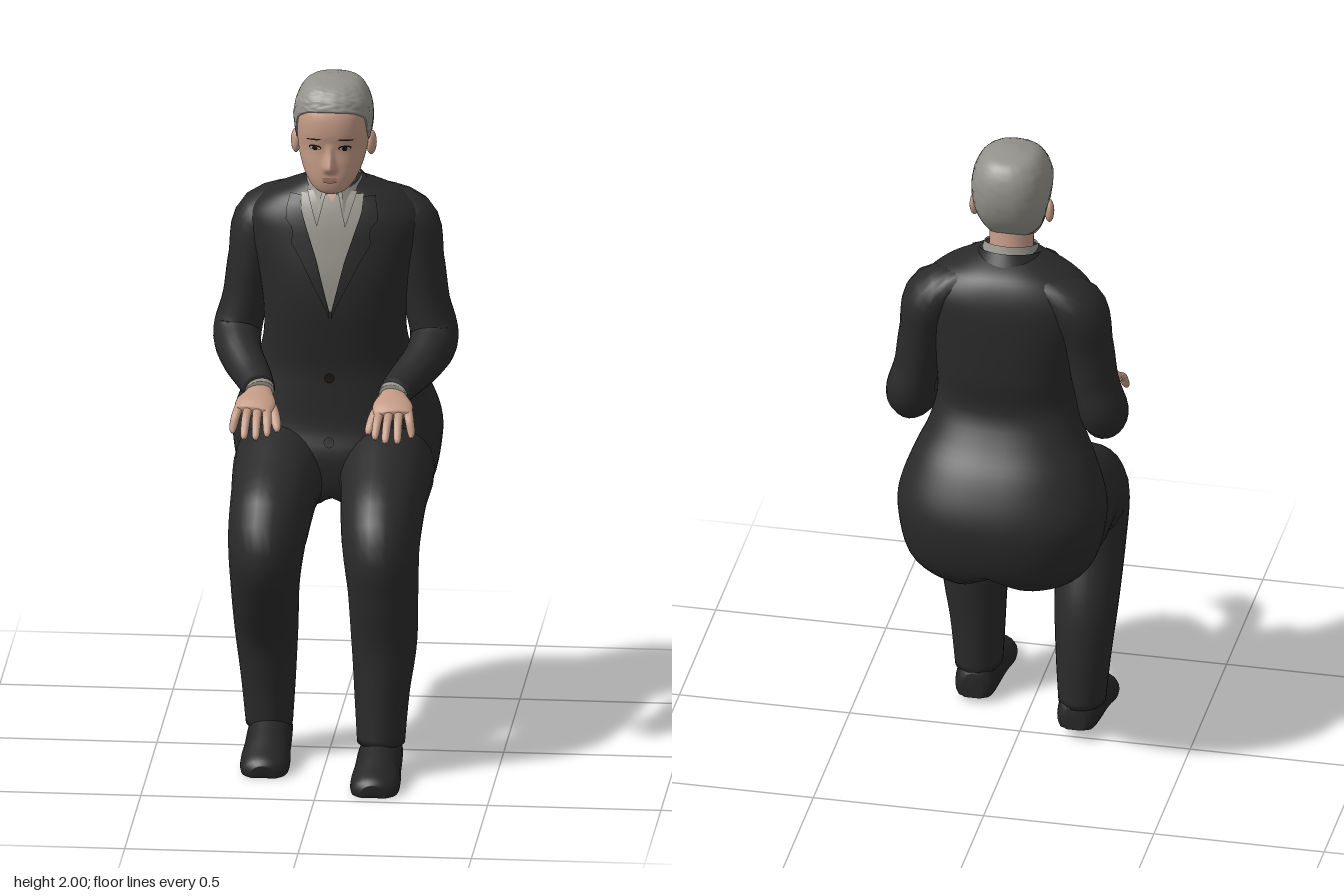
import * as THREE from 'three';

const mat = (name, color, side = THREE.FrontSide) =>
  Object.assign(new THREE.MeshStandardMaterial({ color, side }), { name });
const M = {
  suit: mat('suit black', 0x2a2a2a, THREE.DoubleSide),
  shoe: mat('shoe black', 0x252525),
  skin: mat('skin', 0xc39a85),
  hair: mat('grey hair', 0x93928b, THREE.DoubleSide),
  shirt: mat('grey shirt', 0x98968c, THREE.DoubleSide),
  lips: mat('lips', 0xa87667),
  white: mat('eye white', 0xb9b0a6),
  dark: mat('dark detail', 0x1a1614),
};

// Smooth interpolation through table rows; t counts rows
function sample(T, t) {
  const n = T.length, i = Math.max(0, Math.min(Math.floor(t), n - 2)), f = t - i;
  const a = T[Math.max(i - 1, 0)], b = T[i], c = T[i + 1], d = T[Math.min(i + 2, n - 1)];
  return b.map((_, k) => 0.5 * (2 * b[k] + (c[k] - a[k]) * f
    + (2 * a[k] - 5 * b[k] + 4 * c[k] - d[k]) * f * f
    + (3 * b[k] - a[k] - 3 * c[k] + d[k]) * f * f * f));
}

// Surface from fn(u, v); wraps around u when closed, optional end caps
function surface(nu, nv, closed, fn, caps = false) {
  const pos = [], idx = [], cols = closed ? nu : nu + 1;
  for (let j = 0; j <= nv; j++) for (let i = 0; i < cols; i++) pos.push(...fn(i / nu, j / nv));
  for (let j = 0; j < nv; j++) for (let i = 0; i < nu; i++) {
    const a = j * cols + i, b = j * cols + (i + 1) % cols;
    idx.push(a, b, a + cols, b, b + cols, a + cols);
  }
  if (caps) for (const row of [0, nv]) {
    const mid = [0, 0, 0], c = pos.length / 3, s = row * cols;
    for (let i = 0; i < cols; i++) for (let k = 0; k < 3; k++) mid[k] += pos[(s + i) * 3 + k] / cols;
    pos.push(...mid);
    for (let i = 0; i < cols; i++) {
      const a = s + i, b = s + (i + 1) % cols;
      idx.push(c, ...(row ? [a, b] : [b, a]));
    }
  }
  const g = new THREE.BufferGeometry();
  g.setAttribute('position', new THREE.Float32BufferAttribute(pos, 3));
  g.setIndex(idx);
  g.computeVertexNormals();
  return g;
}

// Limb along rows [x, y, z, radius sideways, radius across]
function sweep(rows, seg = 20, floor = -1) {
  const n = rows.length - 1;
  return surface(seg, n * 5, true, (u, v) => {
    const t = v * n, [x, y, z, ra, rb] = sample(rows, t);
    const p = sample(rows, Math.max(t - 0.05, 0)), q = sample(rows, Math.min(t + 0.05, n));
    const T = new THREE.Vector3(q[0] - p[0], q[1] - p[1], q[2] - p[2]).normalize();
    const U = new THREE.Vector3(1, 0, 0).addScaledVector(T, -T.x).normalize();
    const V = new THREE.Vector3().crossVectors(T, U), a = u * Math.PI * 2;
    const P = new THREE.Vector3(x, y, z).addScaledVector(U, ra * Math.cos(a)).addScaledVector(V, rb * Math.sin(a));
    return [P.x, Math.max(P.y, floor), P.z];
  }, true);
}

// Body sections: [y, front z, back z, half width]
const POW = 2.3;
const torso = [
  [0.657, -0.16, -0.32, 0.14], [0.68, -0.1, -0.37, 0.215], [0.75, -0.03, -0.435, 0.275], [0.865, -0.005, -0.466, 0.3],
  [0.95, -0.025, -0.458, 0.297], [1.05, -0.03, -0.41, 0.262], [1.13, -0.03, -0.35, 0.225], [1.22, -0.015, -0.305, 0.205],
  [1.32, 0, -0.315, 0.208], [1.42, 0, -0.318, 0.224], [1.52, -0.015, -0.316, 0.248], [1.58, -0.028, -0.307, 0.246],
  [1.63, -0.045, -0.285, 0.196], [1.66, -0.06, -0.255, 0.135], [1.685, -0.075, -0.205, 0.08],
];
const head = [
  [1.672, -0.005, -0.04, 0.02], [1.685, 0.012, -0.08, 0.048], [1.72, 0.021, -0.14, 0.075], [1.765, 0.021, -0.182, 0.092],
  [1.81, 0.019, -0.207, 0.101], [1.86, 0.027, -0.222, 0.105], [1.91, 0.022, -0.223, 0.102], [1.95, -0.001, -0.21, 0.087],
  [1.977, -0.04, -0.182, 0.06], [1.988, -0.1, -0.12, 0.012],
];
const bend = c => Math.sign(c) * Math.abs(c) ** (2 / POW);
function ringPoint(T, t, a, grow = 0) {
  const [y, zf, zb, rx] = sample(T, t);
  return [bend(Math.cos(a)) * (rx + grow), y, (zf + zb) / 2 - bend(Math.sin(a)) * ((zf - zb) / 2 + grow)];
}
// Closed body from a table, with a rule that shapes each point
const body = (T, seg, rows, shape) => surface(seg, (T.length - 1) * rows, true,
  (u, v) => shape(...ringPoint(T, v * (T.length - 1), u * Math.PI * 2)), true);
function frontZ(T, x, y) {
  let lo = 0, hi = T.length - 1;
  for (let k = 0; k < 24; k++) { const m = (lo + hi) / 2; if (sample(T, m)[0] < y) lo = m; else hi = m; }
  const [, zf, zb, rx] = sample(T, lo);
  return (zf + zb) / 2 + (zf - zb) / 2 * Math.max(0, 1 - Math.abs(x / rx) ** POW) ** (1 / POW);
}
// Value from a list of [key, value] pairs with rising keys
function lookup(pairs, k) {
  for (let i = 1; i < pairs.length; i++) if (k <= pairs[i][0]) {
    const [a, b] = [pairs[i - 1], pairs[i]];
    return THREE.MathUtils.mapLinear(Math.max(k, a[0]), a[0], b[0], a[1], b[1]);
  }
  return pairs.at(-1)[1];
}

export function createModel() {
  const model = new THREE.Group();
  model.name = 'seatedPersonInSuit';
  const add = (name, geo, material, parent = model) => {
    const m = new THREE.Mesh(geo, material);
    m.name = name;
    parent.add(m);
    return m;
  };
  // Thin painted ellipse or plate that follows the front of a body
  const decal = (name, T, x, y, w, h, off, material, tilt = 0) => {
    const g = new THREE.CircleGeometry(1, 20).scale(w, h, 1).rotateZ(tilt).translate(x, y, 0), p = g.attributes.position;
    for (let i = 0; i < p.count; i++) p.setZ(i, frontZ(T, p.getX(i), p.getY(i)) + off);
    g.computeVertexNormals();
    add(name, g, material);
  };
  const plate = (name, y0, y1, inner, outer, off, material) =>
    add(name, surface(8, 16, false, (u, v) => {
      const y = y0 + (y1 - y0) * v, x = THREE.MathUtils.lerp(inner(y), outer(y), u);
      return [x, y, frontZ(torso, x, y) + off];
    }), material);

  // Jacket body, its seat raised between the legs
  add('jacketBody', body(torso, 64, 4, (x, y, z) => [x, Math.max(y, 0.742 - 0.65 * Math.abs(x)), z]), M.suit);

  // Shirt front, lapels and buttons
  const vee = y => lookup([[1.32, 0.003], [1.47, 0.04], [1.55, 0.067], [1.61, 0.087], [1.66, 0.09]], y);
  plate('shirtFront', 1.32, 1.655, y => -vee(y), vee, 0.003, M.shirt);
  plate('shirtPlacket', 1.4, 1.61, () => -0.011, () => 0.011, 0.005, M.shirt);
  plate('openNeck', 1.635, 1.68, y => (1.635 - y) * 0.6, y => (y - 1.635) * 0.6, 0.006, M.skin);
  for (const s of [-1, 1]) {
    const between = (name, y0, y1, near, far, off, material) =>
      plate(name, y0, y1, y => (s > 0 ? near(y) : -far(y)), y => (s > 0 ? far(y) : -near(y)), off, material);
    between('lapel', 1.3, 1.65, vee,
      y => vee(y) + lookup([[1.3, 0.002], [1.53, 0.062], [1.55, 0.035], [1.58, 0.055], [1.66, 0.03]], y), 0.008, M.suit);
    between('collarWing', 1.57, 1.665, y => 0.04 - (y - 1.57) * 0.25, y => 0.042 + (y - 1.57) * 0.32, 0.009, M.shirt);
  }
  for (const y of [1.11, 0.92]) decal('jacketButton', torso, -0.005, y, 0.015, 0.015, 0.009, M.dark);

  // Collars slope down towards the front
  add('shirtCollar', surface(36, 4, false, (u, v) => {
    const a = -1.2 + u * (Math.PI + 2.4), r = 0.097 - 0.021 * v, f = -Math.sin(a);
    return [r * Math.cos(a), 1.632 + 0.064 * v - 0.025 * f, -0.122 + r * f * 1.05];
  }), M.shirt);
  add('jacketCollar', surface(28, 4, false, (u, v) => {
    const a = -0.25 + u * (Math.PI + 0.5), r = 0.122 - 0.03 * v, f = -Math.sin(a);
    return [r * Math.cos(a), 1.63 + 0.048 * v - 0.025 * f, -0.124 + r * f];
  }), M.suit);

  // Neck, and head with the nose drawn out of its front
  add('neck', sweep([[0, 1.6, -0.135, 0.07, 0.068], [0, 1.69, -0.115, 0.064, 0.068], [0, 1.78, -0.1, 0.066, 0.07]]), M.skin);
  const nose = [[1.738, 0], [1.75, 0.018], [1.758, 0.031], [1.768, 0.029], [1.8, 0.014], [1.83, 0]];
  add('head', body(head, 128, 9, (x, y, z) => {
    const width = lookup([[1.76, 0.0145], [1.8, 0.009]], y);
    return [x, y, z > -0.05 ? z + lookup(nose, y) * Math.exp(-((x / width) ** 2)) : z];
  }), M.skin);

  // Short hair from the hairline up to the crown
  const hairline = [[-1, 2.05], [-0.4, 2.7], [-0.1, 4.0], [0.1, 4.2], [0.3, 4.7], [0.45, 5.7], [0.8, 6.2], [1, 6.35]];
  add('hair', surface(96, 36, true, (u, v) => {
    const a = u * Math.PI * 2, t0 = lookup(hairline, -Math.sin(a)), t = t0 + (9 - t0) * v;
    const tuft = 0.0014 * Math.sin(11 * a + 2 * Math.sin(9 * t)) * Math.sin(8 * t + 2 * Math.sin(5 * a)) * (1 - v);
    const p = ringPoint(head, t, a, 0.003 + 0.007 * Math.min(1, v * 4) + tuft);
    p[1] += 0.012 * v + tuft;
    return p;
  }, true), M.hair);

  // Lips, eyes, brows and ears
  decal('upperLip', head, 0, 1.725, 0.024, 0.004, 0.003, M.lips);
  decal('lowerLip', head, 0, 1.718, 0.02, 0.005, 0.004, M.lips);
  for (const s of [-1, 1]) {
    decal('eyeLid', head, s * 0.043, 1.818, 0.019, 0.008, 0.002, M.dark);
    decal('eyeWhite', head, s * 0.043, 1.8165, 0.015, 0.0055, 0.004, M.white);
    decal('iris', head, s * 0.043, 1.817, 0.008, 0.007, 0.006, M.dark);
    decal('eyebrow', head, s * 0.046, 1.843, 0.023, 0.0025, 0.003, M.dark, s * -0.1);
    const ear = add('ear', new THREE.SphereGeometry(1, 16, 12), M.skin);
    ear.scale.set(0.014, 0.036, 0.023);
    ear.position.set(s * 0.109, 1.8, -0.105);
    ear.rotation.y = s * -0.25;
  }

  // Arms and hands
  for (const s of [-1, 1]) {
    const side = rows => rows.map(([x, ...r]) => [s * x, ...r]);
    const arm = new THREE.Group();
    arm.name = s > 0 ? 'leftArm' : 'rightArm';
    model.add(arm);
    add('sleeve', sweep(side([[0.08, 1.585, -0.18, 0.04, 0.09], [0.205, 1.545, -0.195, 0.08, 0.1], [0.242, 1.42, -0.188, 0.07, 0.088],
      [0.262, 1.3, -0.186, 0.066, 0.08], [0.284, 1.2, -0.175, 0.07, 0.082], [0.266, 1.16, -0.08, 0.062, 0.068],
      [0.222, 1.13, 0.03, 0.054, 0.052], [0.194, 1.115, 0.112, 0.046, 0.043]]), 24), M.suit, arm);
    add('shirtCuff', sweep(side([[0.196, 1.116, 0.1, 0.043, 0.038], [0.191, 1.111, 0.127, 0.041, 0.034]])), M.shirt, arm);
    add('palm', sweep(side([[0.193, 1.112, 0.1, 0.032, 0.024], [0.193, 1.11, 0.14, 0.041, 0.023],
      [0.197, 1.1, 0.19, 0.058, 0.022], [0.203, 1.084, 0.23, 0.053, 0.015]])), M.skin, arm);
    const fingers = [[0.163, 0.156, 0.292, 1.03], [0.19, 0.187, 0.312, 1.026], [0.217, 0.221, 0.304, 1.024], [0.243, 0.257, 0.264, 1.03]];
    for (const [x0, x1, z, y] of fingers)
      add('finger', sweep(side([[x0, 1.09, 0.2, 0.014, 0.013], [(x0 + x1) / 2, 1.075, (0.21 + z) / 2, 0.013, 0.012],
        [x1, y + 0.012, z - 0.01, 0.011, 0.01], [x1, y, z, 0.005, 0.005]]), 12), M.skin, arm);
    add('thumb', sweep(side([[0.17, 1.1, 0.145, 0.018, 0.017], [0.145, 1.07, 0.19, 0.016, 0.015],
      [0.133, 1.04, 0.23, 0.012, 0.011], [0.132, 1.028, 0.24, 0.005, 0.005]]), 12), M.skin, arm);
  }

  // Trousers and shoes; the left foot is further forward, the right heel is lifted
  const shins = {
    1: [[0.172, 0.56, 0.215, 0.102, 0.12], [0.175, 0.4, 0.21, 0.095, 0.097], [0.169, 0.25, 0.215, 0.08, 0.09], [0.167, 0.1, 0.222, 0.069, 0.088]],
    '-1': [[-0.172, 0.56, 0.172, 0.1, 0.118], [-0.175, 0.4, 0.097, 0.092, 0.1], [-0.172, 0.25, 0.07, 0.08, 0.09], [-0.17, 0.1, 0.06, 0.068, 0.085]],
  };
  for (const s of [1, -1]) {
    const leg = new THREE.Group();
    leg.name = s > 0 ? 'leftLeg' : 'rightLeg';
    model.add(leg);
    add('trouserLeg', sweep([[s * 0.148, 0.8, -0.3, 0.12, 0.12], [s * 0.153, 0.808, -0.12, 0.136, 0.157],
      [s * 0.158, 0.777, 0.05, 0.124, 0.138], [s * 0.164, 0.695, 0.196, 0.113, 0.142], ...shins[s]], 28), M.suit, leg);
    const x = s * 0.166;
    const shoe = add('shoe', sweep([[x, 0.035, 0, 0.03, 0.045], [x, 0.035, 0.025, 0.056, 0.07], [x, 0.04, 0.1, 0.064, 0.08],
      [x, 0.03, 0.19, 0.067, 0.068], [x, 0.02, 0.26, 0.072, 0.056], [x, 0.014, 0.315, 0.064, 0.045],
      [x, 0.012, 0.34, 0.035, 0.03]], 24, 0.004), M.shoe, leg);
    const lift = s > 0 ? 0.02 : 0.04;
    shoe.position.set(0, lift, s > 0 ? 0.125 : -0.03);
    shoe.rotation.x = lift / 0.34;
  }
  return model;
}
